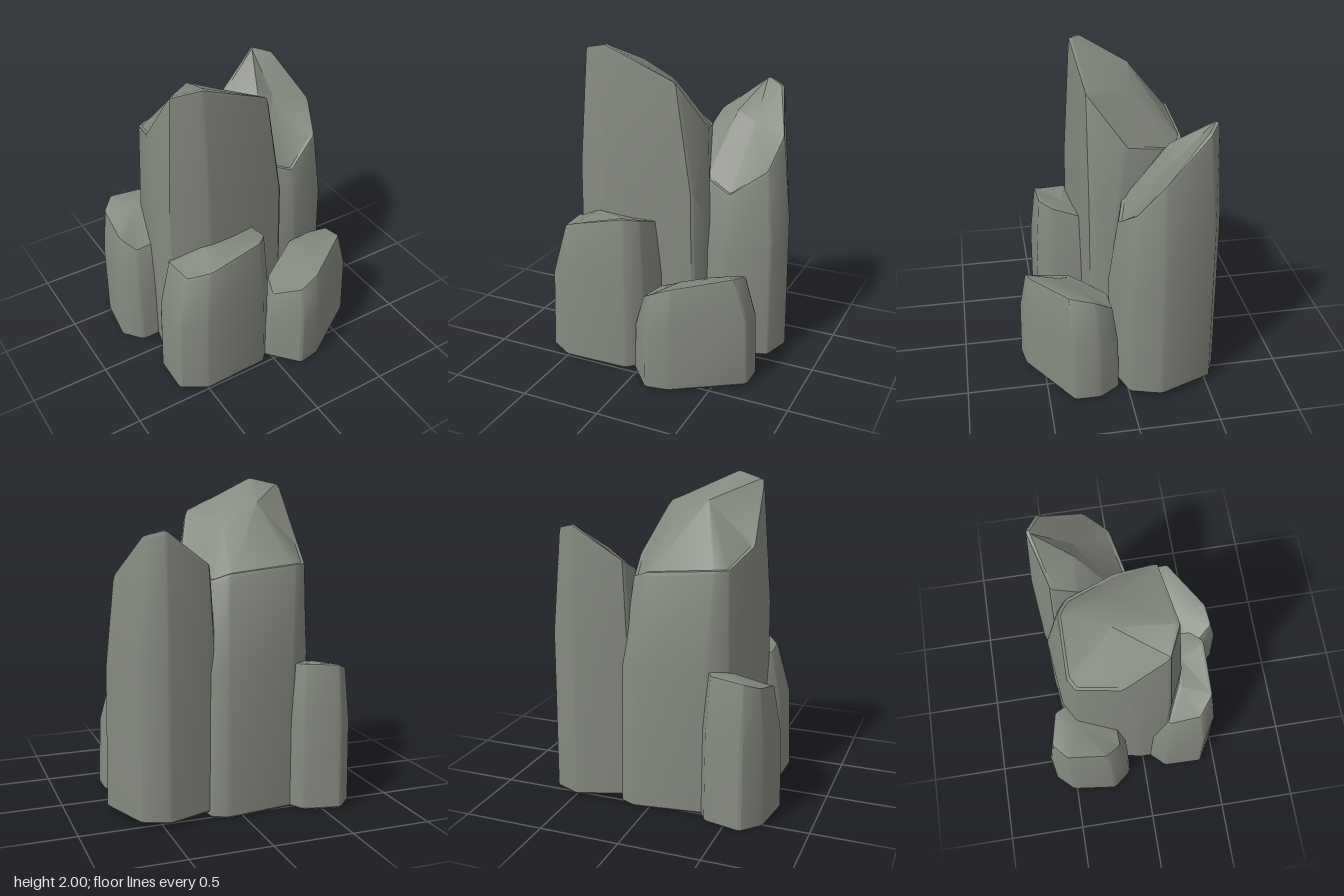
import * as THREE from 'three';
import { toCreasedNormals } from 'three/addons/utils/BufferGeometryUtils.js';

const stone = new THREE.MeshStandardMaterial({ color: 0x84897f });
stone.name = 'grey stone';

// Replace every corner by two close points, for softly bevelled vertical edges.
function chamfer(corners, size) {
  const n = corners.length;
  const toward = (a, b) => {
    const t = Math.min(0.3, size / Math.hypot(b[0] - a[0], b[1] - a[1]));
    return a.map((v, k) => v + (b[k] - v) * t);
  };
  return corners.flatMap((c, i) => [
    toward(c, corners[(i + n - 1) % n]), toward(c, corners[(i + 1) % n])]);
}

// One faceted column. Each corner is [baseX, baseZ, rimX, rimY, rimZ], clockwise from above.
// The cores are the inner points of the slanted, chipped top.
function column(name, floor, outline, cores) {
  const corners = chamfer(outline, 0.012);
  const n = corners.length;
  const mid = (k) => corners.reduce((s, c) => s + c[k], 0) / n;
  const baseC = [mid(0), mid(1)];
  const rimC = [mid(2), mid(4)];
  const pull = (x, z, [cx, cz], d) => {
    const l = Math.hypot(cx - x, cz - z);
    return [x + ((cx - x) / l) * d, z + ((cz - z) / l) * d];
  };
  const level = (f, t) => corners.map(([bx, bz, rx, ry, rz]) =>
    [bx + (rx - bx) * t, floor + (ry - floor) * f, bz + (rz - bz) * t]);

  const foot = corners.map(([x, z]) => {
    const p = pull(x, z, baseC, 0.012);
    return [p[0], floor, p[1]];
  });
  const sole = corners.map(([x, z]) => [x, floor + 0.012, z]);
  const rim = corners.map(([, , x, y, z]) => [x, y, z]);
  const lip = corners.map(([, , x, y, z]) => {
    const p = pull(x, z, rimC, 0.02);
    return [p[0], y + 0.003, p[1]];
  });
  const rings = [foot, sole, level(0.62, 0.15), level(0.985, 0.92), rim, lip];

  const pos = [];
  const tri = (a, b, c) => pos.push(...a, ...b, ...c);
  const nearest = (p) => cores.reduce((best, c) =>
    Math.hypot(c[0] - p[0], c[2] - p[2]) < Math.hypot(best[0] - p[0], best[2] - p[2]) ? c : best);

  for (let i = 0; i < n; i++) {
    const j = (i + 1) % n;
    // Walls and bevels
    for (let r = 0; r < rings.length - 1; r++) {
      const lo = rings[r], up = rings[r + 1];
      tri(lo[j], lo[i], up[i]);
      tri(lo[j], up[i], up[j]);
    }
    // Chipped top
    const a = nearest(lip[i]), b = nearest(lip[j]);
    tri(lip[j], lip[i], a);
    if (a !== b) tri(lip[j], a, b);
    // Underside
    tri(foot[i], foot[j], [baseC[0], floor, baseC[1]]);
  }
  const geo = new THREE.BufferGeometry();
  geo.setAttribute('position', new THREE.Float32BufferAttribute(pos, 3));
  const mesh = new THREE.Mesh(toCreasedNormals(geo, 0.5), stone);
  mesh.name = name;
  return mesh;
}

export function createModel() {
  const group = new THREE.Group();
  group.name = 'rockColumns';
  group.add(
    column('tallColumn', 0, [
      [-0.47, -0.42, -0.45, 1.5, -0.39],
      [-0.34, -0.5, -0.38, 1.5, -0.43],
      [0.1, -0.555, 0.05, 1.46, -0.43],
      [0.19, -0.515, 0.145, 1.42, -0.37],
      [0.308, 0.05, 0.235, 1.49, -0.06],
      [0.255, 0.175, 0.12, 1.8, 0.17],
      [-0.33, 0.27, -0.33, 2.0, 0.21],
      [-0.565, 0.16, -0.503, 1.96, 0.13],
      [-0.565, -0.02, -0.525, 1.6, -0.13],
    ], [[-0.24, 1.86, -0.14], [-0.02, 1.76, -0.12]]),

    column('backRightColumn', 0.03, [
      [0.14, -0.47, 0.18, 1.52, -0.45],
      [0.47, -0.588, 0.47, 1.733, -0.54],
      [0.632, -0.52, 0.582, 1.7, -0.47],
      [0.755, -0.19, 0.685, 1.45, -0.19],
      [0.7, 0.0, 0.64, 1.26, -0.04],
      [0.42, 0.103, 0.42, 1.1, 0.03],
      [0.2, 0.04, 0.23, 1.18, -0.03],
      [0.12, -0.33, 0.17, 1.45, -0.3],
    ], [[0.35, 1.56, -0.28], [0.47, 1.49, -0.28]]),

    column('frontLeftColumn', 0, [
      [-0.655, 0.15, -0.57, 0.86, 0.17],
      [-0.55, 0.04, -0.5, 0.86, 0.08],
      [0.0, 0.03, -0.04, 0.88, 0.07],
      [0.052, 0.2, 0.0, 0.92, 0.2],
      [0.01, 0.402, -0.022, 0.98, 0.38],
      [-0.08, 0.488, -0.1, 1.002, 0.455],
      [-0.5, 0.498, -0.44, 0.92, 0.455],
      [-0.66, 0.402, -0.555, 0.86, 0.362],
    ], [[-0.37, 0.96, 0.27], [-0.18, 0.95, 0.3]]),

    column('backLeftColumn', 0, [
      [-0.722, -0.522, -0.685, 0.86, -0.51],
      [-0.612, -0.638, -0.6, 0.9, -0.59],
      [-0.378, -0.587, -0.4, 0.91, -0.545],
      [-0.3, -0.45, -0.34, 0.9, -0.43],
      [-0.34, -0.115, -0.38, 0.76, -0.18],
      [-0.66, -0.108, -0.63, 0.74, -0.17],
      [-0.758, -0.23, -0.7, 0.8, -0.265],
    ], [[-0.5, 0.9, -0.42]]),

    column('frontRightColumn', 0, [
      [0.03, 0.28, 0.08, 0.53, 0.29],
      [0.38, 0.07, 0.38, 0.57, 0.1],
      [0.602, 0.052, 0.542, 0.57, 0.088],
      [0.687, 0.18, 0.602, 0.66, 0.2],
      [0.687, 0.342, 0.592, 0.702, 0.352],
      [0.272, 0.612, 0.272, 0.66, 0.562],
      [0.13, 0.635, 0.14, 0.61, 0.583],
      [-0.038, 0.44, 0.028, 0.51, 0.43],
    ], [[0.25, 0.63, 0.38], [0.43, 0.66, 0.29]]),
  );
  return group;
}
